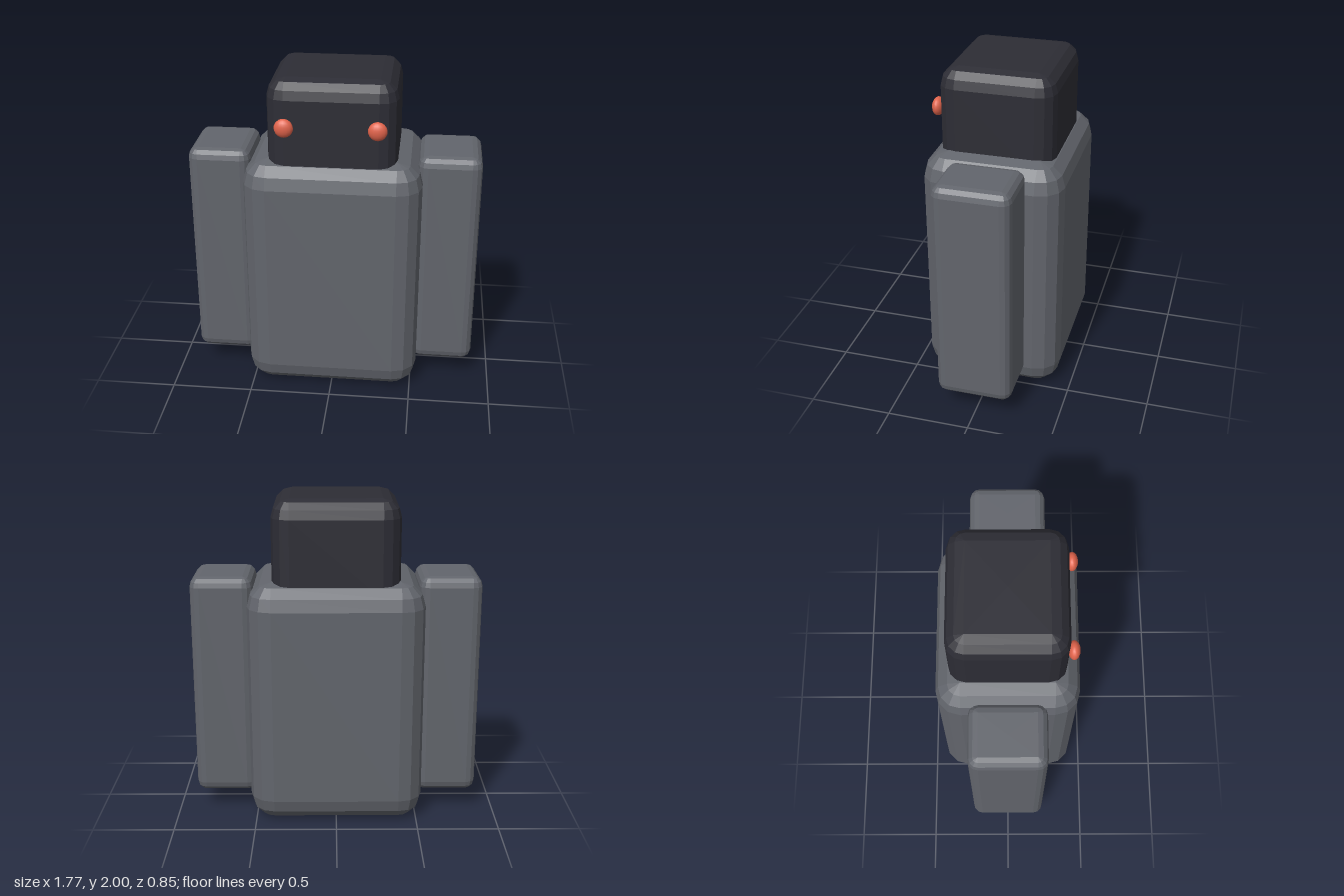
import * as THREE from 'three';

const mat = (name, color) => {
  const m = new THREE.MeshStandardMaterial({ color });
  m.name = name;
  return m;
};

// Box with every edge rounded by three flat facets, built from stacked rings
function bevelBox(w, h, d, r) {
  const steps = 3, step = Math.PI / 2 / steps, rings = [];
  const ring = (y, inset, spread) => {
    const pts = [];
    for (let q = 0; q < 4; q++) {
      const sx = q === 0 || q === 3 ? 1 : -1;
      const sz = q < 2 ? 1 : -1;
      for (let k = 0; k <= steps; k++) {
        const t = q * Math.PI / 2 + k * step;
        pts.push([
          spread * (sx * (w / 2 - r) + inset * Math.cos(t)), y,
          spread * (sz * (d / 2 - r) + inset * Math.sin(t)),
        ]);
      }
    }
    rings.push(pts);
  };
  ring(-h / 2, 0, 0);
  for (const s of [-1, 1]) {
    for (let k = 0; k <= steps; k++) {
      const a = (s < 0 ? k - steps : k) * step;
      ring(s * (h / 2 - r) + r * Math.sin(a), r * Math.cos(a), 1);
    }
  }
  ring(h / 2, 0, 0);

  const pos = [], n = rings[0].length;
  for (let i = 0; i < rings.length - 1; i++) {
    for (let j = 0; j < n; j++) {
      const a = rings[i][j], b = rings[i][(j + 1) % n];
      const c = rings[i + 1][j], e = rings[i + 1][(j + 1) % n];
      pos.push(...a, ...c, ...e, ...a, ...e, ...b);
    }
  }
  const g = new THREE.BufferGeometry();
  g.setAttribute('position', new THREE.Float32BufferAttribute(pos, 3));
  g.computeVertexNormals();
  return g;
}

export function createModel() {
  const model = new THREE.Group();
  const grey = mat('slate grey', 0x62656c);
  const dark = mat('charcoal', 0x2d2d35);
  const red = mat('coral red', 0xe0634b);

  const add = (name, geometry, material, x, y, z) => {
    const mesh = new THREE.Mesh(geometry, material);
    mesh.name = name;
    mesh.position.set(x, y, z);
    model.add(mesh);
    return mesh;
  };

  // Torso and head; the head sinks into the torso
  add('body', bevelBox(1.07, 1.51, 0.85, 0.15), grey, 0, 0.755, 0);
  add('head', bevelBox(0.77, 0.69, 0.69, 0.11), dark, 0, 1.655, 0);

  // Mirrored arms and flattened round eyes
  const arm = bevelBox(0.38, 1.39, 0.46, 0.06);
  const eye = new THREE.SphereGeometry(0.056, 16, 12);
  for (const [side, s] of [['left', 1], ['right', -1]]) {
    add(side + 'Arm', arm, grey, s * 0.695, 0.825, 0);
    add(side + 'Eye', eye, red, s * 0.27, 1.735, 0.37).scale.z = 0.62;
  }
  return model;
}
